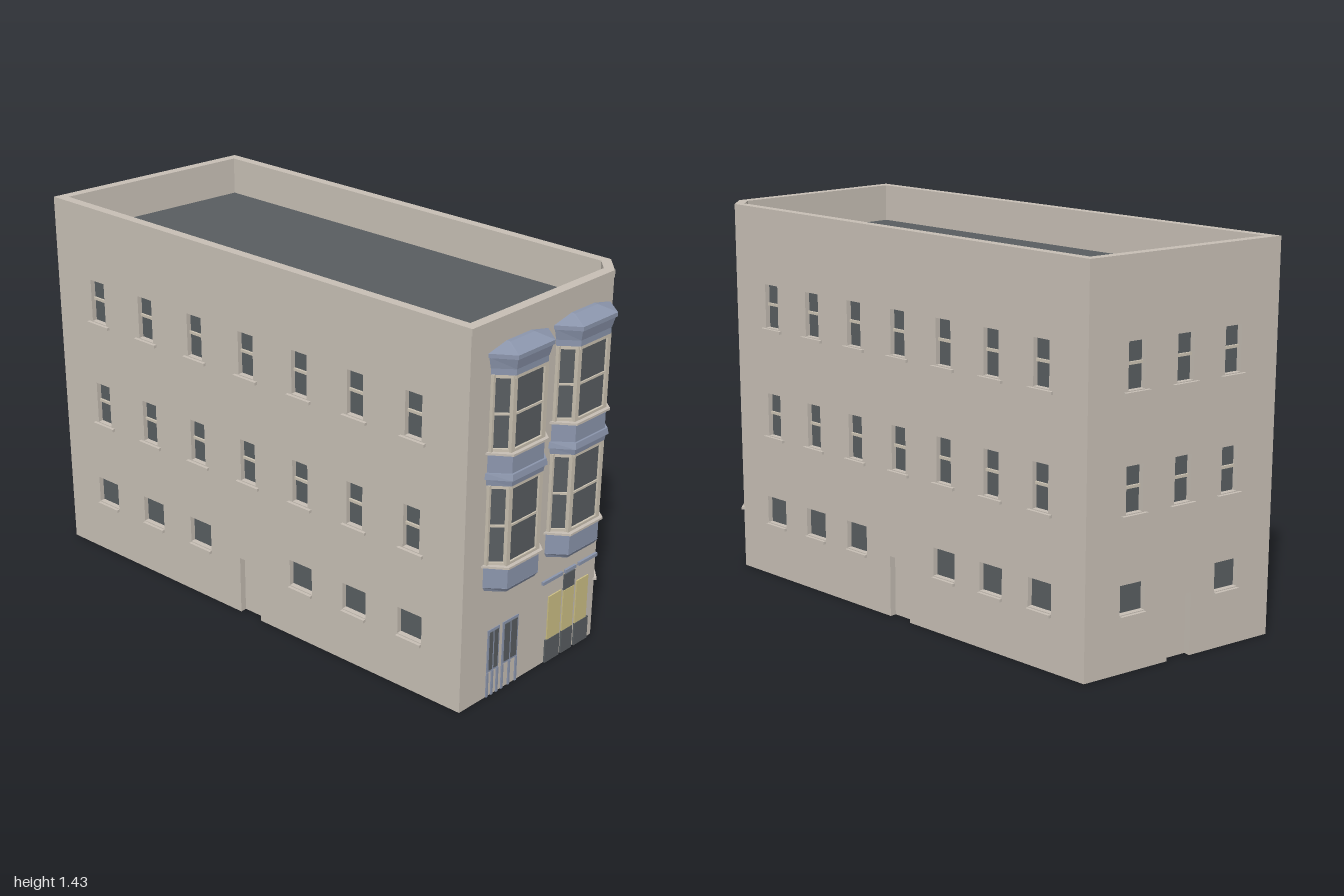
import * as THREE from 'three';

const paint = (name, color) => {
  const m = new THREE.MeshStandardMaterial({ color });
  m.name = name;
  return m;
};

export function createModel() {
  const stone = paint('stone', 0xc6beb4);
  const cream = paint('cream frame', 0xcbc2b2);
  const dark = paint('dark glass and roofing', 0x585d60);
  const blue = paint('blue trim', 0x8b95ac);
  const yellow = paint('yellow panel', 0xcbbe84);
  dark.side = THREE.DoubleSide;

  const H = 1.43, T = 0.035, ROOF = 1.29;
  const root = new THREE.Group();
  root.name = 'cornerBuilding';

  const add = (parent, name, geo, mat) => {
    const m = new THREE.Mesh(geo, mat);
    m.name = name;
    parent.add(m);
    return m;
  };
  // Box given by its limits
  const box = (parent, name, mat, x0, x1, y0, y1, z0, z1) =>
    add(parent, name, new THREE.BoxGeometry(x1 - x0, y1 - y0, z1 - z0), mat)
      .position.set((x0 + x1) / 2, (y0 + y1) / 2, (z0 + z1) / 2);

  // Footprint as x, z corners: front, chamfer, right, back, left
  const plan = [[-0.32, 0.92], [0.40, 0.92], [0.47, 0.85], [0.33, -0.90], [-0.48, -1.0]]
    .map(p => new THREE.Vector2(...p));
  const corner = i => plan[(i + 5) % 5];
  // Inward shift of the inner wall edge at a mitred corner
  const mitre = i => {
    const a = corner(i - 1).clone().sub(corner(i)), b = corner(i + 1).clone().sub(corner(i));
    const angle = Math.acos(a.dot(b) / (a.length() * b.length()));
    return T / Math.tan(angle / 2);
  };

  // Wall i in its own frame: x along the wall, outer face at z = 0
  function wall(i, name, doors, windows) {
    const a = corner(i), b = corner(i + 1), L = a.distanceTo(b);
    const g = new THREE.Group();
    g.name = name;
    g.position.set(a.x, 0, a.y);
    g.rotation.y = Math.atan2(a.y - b.y, b.x - a.x);
    root.add(g);

    const s = new THREE.Shape();
    s.moveTo(0, 0);
    for (const d of doors) {
      s.lineTo(d.u - d.w / 2, 0);
      s.lineTo(d.u - d.w / 2, d.h);
      s.lineTo(d.u + d.w / 2, d.h);
      s.lineTo(d.u + d.w / 2, 0);
    }
    s.lineTo(L, 0);
    s.lineTo(L, H);
    s.lineTo(0, H);
    s.closePath();
    for (const { u, y0, y1, w } of windows) {
      s.holes.push(new THREE.Path([[-1, y0], [-1, y1], [1, y1], [1, y0]]
        .map(([k, y]) => new THREE.Vector2(u + k * w / 2, y))));
    }
    const geo = new THREE.ExtrudeGeometry(s, { depth: T, bevelEnabled: false }).translate(0, 0, -T);
    const p = geo.attributes.position;
    for (let k = 0; k < p.count; k++) {
      if (p.getZ(k) > -T / 2) continue;
      if (p.getX(k) < 1e-5) p.setX(k, mitre(i));
      else if (p.getX(k) > L - 1e-5) p.setX(k, L - mitre(i + 1));
    }
    geo.computeVertexNormals();
    add(g, name + 'Masonry', geo, stone);

    for (const { u, y0, y1, w, rail } of windows) {
      box(g, 'windowGlass', dark, u - w / 2, u + w / 2, y0, y1, -0.024, -0.02);
      box(g, 'windowSill', stone, u - 0.053, u + 0.053, y0 - 0.014, y0 - 0.003, -0.005, 0.012);
      if (rail) box(g, 'meetingRail', cream, u - w / 2, u + w / 2, y0 + 0.083, y0 + 0.093, -0.022, -0.012);
    }
    for (const { u, w, h, mat } of doors) {
      box(g, 'doorFace', mat, u - w / 2, u + w / 2, 0, h, -0.03, -0.025);
      box(g, 'doorBack', dark, u - w / 2, u + w / 2, 0, h, -0.034, -0.03);
    }
    return g;
  }

  // Three storeys of windows; the middle ground opening is a door
  function punched(centres) {
    const mid = (centres.length - 1) / 2;
    const windows = [], doors = [];
    centres.forEach((u, i) => {
      windows.push({ u, w: 0.07, y0: 0.98, y1: 1.145, rail: true });
      windows.push({ u, w: 0.07, y0: 0.56, y1: 0.725, rail: true });
      if (i === mid) doors.push({ u, w: 0.1, h: 0.23, mat: stone });
      else windows.push({ u, w: 0.105, y0: 0.21, y1: 0.315 });
    });
    return [doors, windows];
  }
  const length = i => corner(i).distanceTo(corner(i + 1));
  const row = (n, start, step) => Array.from({ length: n }, (_, i) => start + i * step);

  const front = wall(0, 'frontWall', [], []);
  const chamfer = wall(1, 'chamferWall', [{ u: 0.034, w: 0.05, h: 0.23, mat: dark }], []);
  wall(2, 'rightWall', ...punched(row(7, 0.2, 0.2257)));
  wall(3, 'backWall', ...punched([0.245, 0.5, 0.755].map(f => f * length(3))));
  wall(4, 'leftWall', ...punched(row(7, 0.21, 0.249)));
  box(chamfer, 'cornerLintel', stone, -0.005, 0.104, 0.23, 0.239, -0.01, 0.01);
  box(chamfer, 'cornerPost', stone, 0.06, 0.068, 0, 0.23, -0.01, 0.006);
  box(front, 'parapetBand', stone, 0, 0.72, 1.405, H, -0.005, 0.003);

  // Sunken flat roof
  const roofShape = new THREE.Shape(plan.map(p => new THREE.Vector2(p.x * 0.97, -p.y * 0.97)));
  add(root, 'flatRoof', new THREE.ShapeGeometry(roofShape).rotateX(-Math.PI / 2), dark).position.y = ROOF;

  // Canted bay section, grown outwards by g0 below and g1 above
  const bayPlan = g => [[-0.13 - g, 0], [-0.078 - g * 0.7, 0.06 + g], [0.078 + g * 0.7, 0.06 + g], [0.13 + g, 0]];
  function bayPart(parent, name, mat, y0, y1, g0, g1 = g0) {
    const s = new THREE.Shape(bayPlan(g0).map(([x, z]) => new THREE.Vector2(x, -z)));
    const geo = new THREE.ExtrudeGeometry(s, { depth: y1 - y0, bevelEnabled: false })
      .rotateX(-Math.PI / 2).translate(0, y0, 0);
    const p = geo.attributes.position, top = bayPlan(g1);
    for (let k = 0; k < p.count; k++) {
      if (p.getY(k) < (y0 + y1) / 2) continue;
      const [x, z] = top[p.getZ(k) > 0.02 ? 2 : 3];
      p.setX(k, Math.sign(p.getX(k)) * x);
      p.setZ(k, z);
    }
    geo.computeVertexNormals();
    add(parent, name, geo, mat);
  }
  function bay(x) {
    const b = new THREE.Group();
    b.name = 'bayWindow';
    b.position.set(x, 0, 0.92);
    root.add(b);
    bayPart(b, 'bayFoot', blue, 0.44, 0.457, -0.006, 0.004);
    bayPart(b, 'lowerPanel', blue, 0.457, 0.537, 0.003);
    bayPart(b, 'middleCornice', blue, 0.845, 0.87, 0.004, 0.008);
    bayPart(b, 'middleLedge', blue, 0.87, 0.892, 0.015, 0.011);
    bayPart(b, 'middlePanel', blue, 0.892, 0.96, 0.003);
    bayPart(b, 'frieze', blue, 1.243, 1.265, 0.003);
    bayPart(b, 'topCornice', blue, 1.265, 1.305, 0.004, 0.013);
    bayPart(b, 'eave', blue, 1.305, 1.32, 0.018);
    // Low hipped cap rising towards the wall
    const cap = new THREE.ExtrudeGeometry(
      new THREE.Shape(bayPlan(0.018).map(([px, z]) => new THREE.Vector2(px, -z))),
      { depth: 0.02, bevelEnabled: false }).rotateX(-Math.PI / 2).translate(0, 1.32, 0);
    const p = cap.attributes.position;
    for (let k = 0; k < p.count; k++) {
      if (p.getY(k) < 1.33) continue;
      p.setX(k, Math.sign(p.getX(k)) * 0.06);
      p.setZ(k, p.getZ(k) > 0.02 ? 0.015 : 0);
    }
    cap.computeVertexNormals();
    add(b, 'bayRoof', cap, blue);
    // Two storeys of sash windows
    for (const [y0, y1] of [[0.537, 0.845], [0.96, 1.243]]) {
      const mid = (y0 + y1) / 2;
      bayPart(b, 'bayGlass', dark, y0, y1, -0.008);
      bayPart(b, 'baySill', stone, y0, y0 + 0.008, 0.014);
      bayPart(b, 'bottomRail', cream, y0 + 0.008, y0 + 0.018, 0);
      bayPart(b, 'meetingRail', cream, mid - 0.004, mid + 0.004, -0.003);
      bayPart(b, 'topRail', cream, y1 - 0.012, y1, 0.002);
      for (const k of [-1, 1]) {
        const post = k * 0.077, jamb = k * 0.126;
        box(b, 'cornerMullion', cream, post - 0.009, post + 0.009, y0, y1, 0.045, 0.06);
        box(b, 'wallJamb', cream, jamb - 0.005, jamb + 0.005, y0, y1, 0, 0.012);
      }
    }
  }
  bay(-0.088);
  bay(0.238);

  // Street-level joinery as thin plates on the front wall
  const plate = (name, mat, x0, x1, y0, y1, t = 0.005) =>
    box(root, name, mat, x0, x1, y0, y1, 0.919, 0.92 + t);
  for (const [x0, x1] of [[-0.185, -0.124], [-0.106, -0.024]]) {
    const mid = (x0 + x1) / 2;
    plate('entranceFrame', blue, x0, x1, 0.1, 0.27, 0.003);
    for (const [a, c] of [[x0 + 0.009, mid - 0.004], [mid + 0.004, x1 - 0.007]])
      plate('entranceGlass', dark, a, c, 0.108, 0.26);
    for (const x of [x0, mid - 0.005, x1 - 0.009])
      plate('entrancePost', blue, x, x + 0.009, 0, 0.1);
  }
  for (const [x0, x1, top] of [[0.138, 0.208, 0.27], [0.22, 0.28, 0.26], [0.294, 0.36, 0.27]]) {
    plate('shopPanel', yellow, x0, x1, 0.093, top);
    plate('shopBase', dark, x0 - (x0 < 0.2 ? 0.008 : 0), x1 + (x1 > 0.3 ? 0.01 : 0), 0, 0.093, 0.007);
  }
  plate('transomGlass', dark, 0.22, 0.28, 0.262, 0.325);
  for (const [x0, x1] of [[0.098, 0.206], [0.22, 0.28], [0.296, 0.4]])
    plate('shopFascia', blue, x0, x1, 0.333, 0.346, 0.009);

  return root;
}
